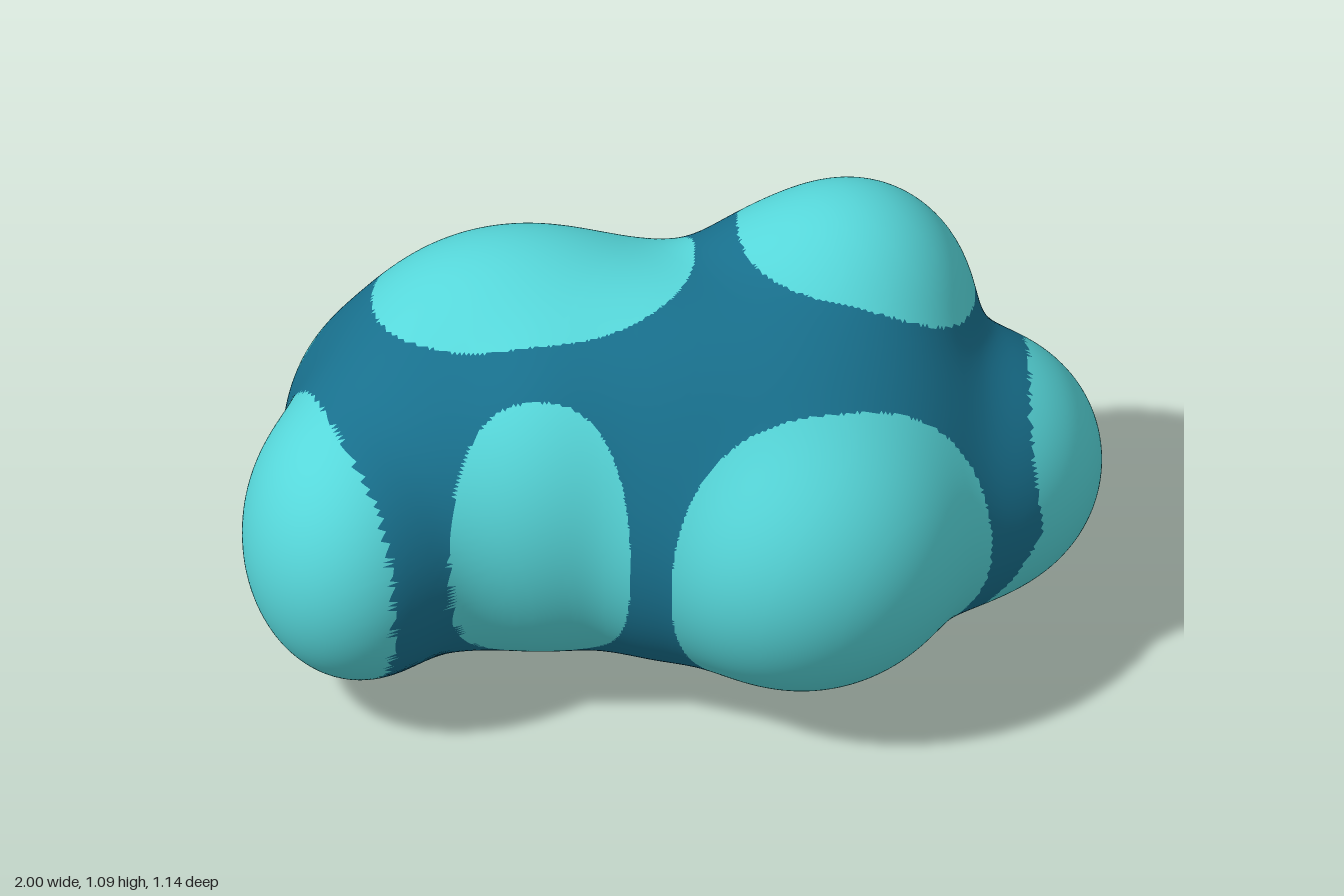
import * as THREE from 'three';
import { mergeVertices } from 'three/addons/utils/BufferGeometryUtils.js';

// Rounded lobes that melt together into the body: centre, radii
const LOBES = [
  [0, 0.54, 0, 0.7, 0.45, 0.4],            // core
  [0.69, 0.42, -0.12, 0.305, 0.3, 0.31],   // left end
  [0.3, 0.46, 0.2, 0.39, 0.37, 0.38],      // front left
  [-0.3, 0.52, 0.09, 0.28, 0.4, 0.32],     // front middle
  [-0.73, 0.44, 0.18, 0.27, 0.34, 0.335],  // right end
  [-0.61, 0.43, -0.21, 0.285, 0.34, 0.305], // back right
  [0.42, 0.78, -0.22, 0.28, 0.31, 0.29],   // top bump
  [-0.35, 0.61, -0.15, 0.43, 0.39, 0.36],  // top
  [0.2, 0.42, -0.2, 0.4, 0.32, 0.34],      // back
  [0, 0.37, -0.08, 0.48, 0.35, 0.34],      // underside
  [0.3, 0.55, 0, 0.42, 0.42, 0.37],        // shoulder under the bump
  [0.3, 0.7, -0.2, 0.33, 0.34, 0.29],      // slope beside the bump
  [-0.5, 0.48, 0.1, 0.33, 0.36, 0.29],     // bridge to the right end
  [-0.54, 0.55, 0.0, 0.31, 0.34, 0.3],     // ridge above the right end
  [0.5, 0.42, -0.03, 0.38, 0.3, 0.32],     // bridge to the left end
  [0.5, 0.42, -0.13, 0.34, 0.28, 0.32],    // bridge from left end to back
  [0, 0.48, 0.1, 0.28, 0.36, 0.35],        // bridge along the front
  [-0.08, 0.52, -0.2, 0.62, 0.38, 0.345],  // bridge along the back
];

// Pale patches: centre, half sizes
const PATCHES = [
  [1.02, 0.4, -0.14, 0.3, 0.34, 0.33],     // left end
  [0.83, 0.29, -0.13, 0.27, 0.23, 0.31],   // left end, lower edge
  [0.385, 0.475, 0.45, 0.39, 0.4, 0.4],    // front left
  [-0.31, 0.52, 0.4, 0.21, 0.385, 0.3],    // front middle
  [-0.95, 0.42, 0.3, 0.32, 0.39, 0.43],    // right end
  [-0.62, 0.4, -0.43, 0.375, 0.33, 0.26],  // back right
  [0.44, 0.95, -0.25, 0.29, 0.25, 0.285],  // top bump
  [-0.33, 0.98, -0.2, 0.385, 0.3, 0.33],   // top
  [0.18, 0.41, -0.52, 0.27, 0.305, 0.3],   // back
  [-0.05, 0.01, -0.15, 0.44, 0.08, 0.22],  // underside
];

// Smooth union of the ellipsoid distances
function distance(x, y, z) {
  const k = 0.04;
  let sum = 0;
  for (const [cx, cy, cz, rx, ry, rz] of LOBES) {
    const a = (x - cx) / rx, b = (y - cy) / ry, c = (z - cz) / rz;
    const k0 = Math.hypot(a, b, c);
    const k1 = Math.hypot(a / rx, b / ry, c / rz) + 1e-6;
    sum += Math.exp(-(k0 * (k0 - 1)) / k1 / k);
  }
  return -k * Math.log(sum + 1e-300);
}

function inPatch(x, y, z) {
  return PATCHES.some(([cx, cy, cz, hx, hy, hz]) =>
    Math.abs((x - cx) / hx) ** 2.4 + Math.abs((y - cy) / hy) ** 2.4 + Math.abs((z - cz) / hz) ** 2.4 < 1);
}

// Shrink a fine sphere on to the lobes
function bodyGeometry() {
  let geo = new THREE.IcosahedronGeometry(1, 80);
  geo.deleteAttribute('uv');
  geo.deleteAttribute('normal');
  geo = mergeVertices(geo, 1e-5);
  const pos = geo.attributes.position;
  const v = new THREE.Vector3();
  for (let i = 0; i < pos.count; i++) {
    v.fromBufferAttribute(pos, i).normalize();
    let r = 1.3;
    for (let s = 0; s < 50; s++) {
      const d = distance(v.x * r, 0.5 + v.y * r, v.z * r);
      r -= d * 0.8;
      if (Math.abs(d) < 0.0005) break;
    }
    pos.setXYZ(i, v.x * r, 0.5 + v.y * r, v.z * r);
  }
  // Stand it on the ground, centred
  geo.computeBoundingBox();
  const { min, max } = geo.boundingBox;
  geo.translate(-(min.x + max.x) / 2, -min.y, -(min.z + max.z) / 2);
  geo.computeVertexNormals();
  return geo;
}

export function createModel() {
  const skin = new THREE.MeshStandardMaterial({ color: 0x18708d });
  skin.name = 'deep blue';
  const spot = new THREE.MeshStandardMaterial({ color: 0x56d7da });
  spot.name = 'pale turquoise';

  // Sort the faces into skin and patches
  const geo = bodyGeometry();
  const p = geo.attributes.position, index = geo.index.array;
  const faces = { skin: [], patches: [] };
  for (let i = 0; i < index.length; i += 3) {
    const [a, b, c] = [index[i], index[i + 1], index[i + 2]];
    const mid = (get) => (p[get](a) + p[get](b) + p[get](c)) / 3;
    const key = inPatch(mid('getX'), mid('getY'), mid('getZ')) ? 'patches' : 'skin';
    faces[key].push(a, b, c);
  }

  const group = new THREE.Group();
  group.name = 'spottedBoulder';
  for (const [name, material] of [['skin', skin], ['patches', spot]]) {
    const part = new THREE.BufferGeometry();
    part.setAttribute('position', p);
    part.setAttribute('normal', geo.attributes.normal);
    part.setIndex(faces[name]);
    const mesh = new THREE.Mesh(part, material);
    mesh.name = name;
    group.add(mesh);
  }
  return group;
}
